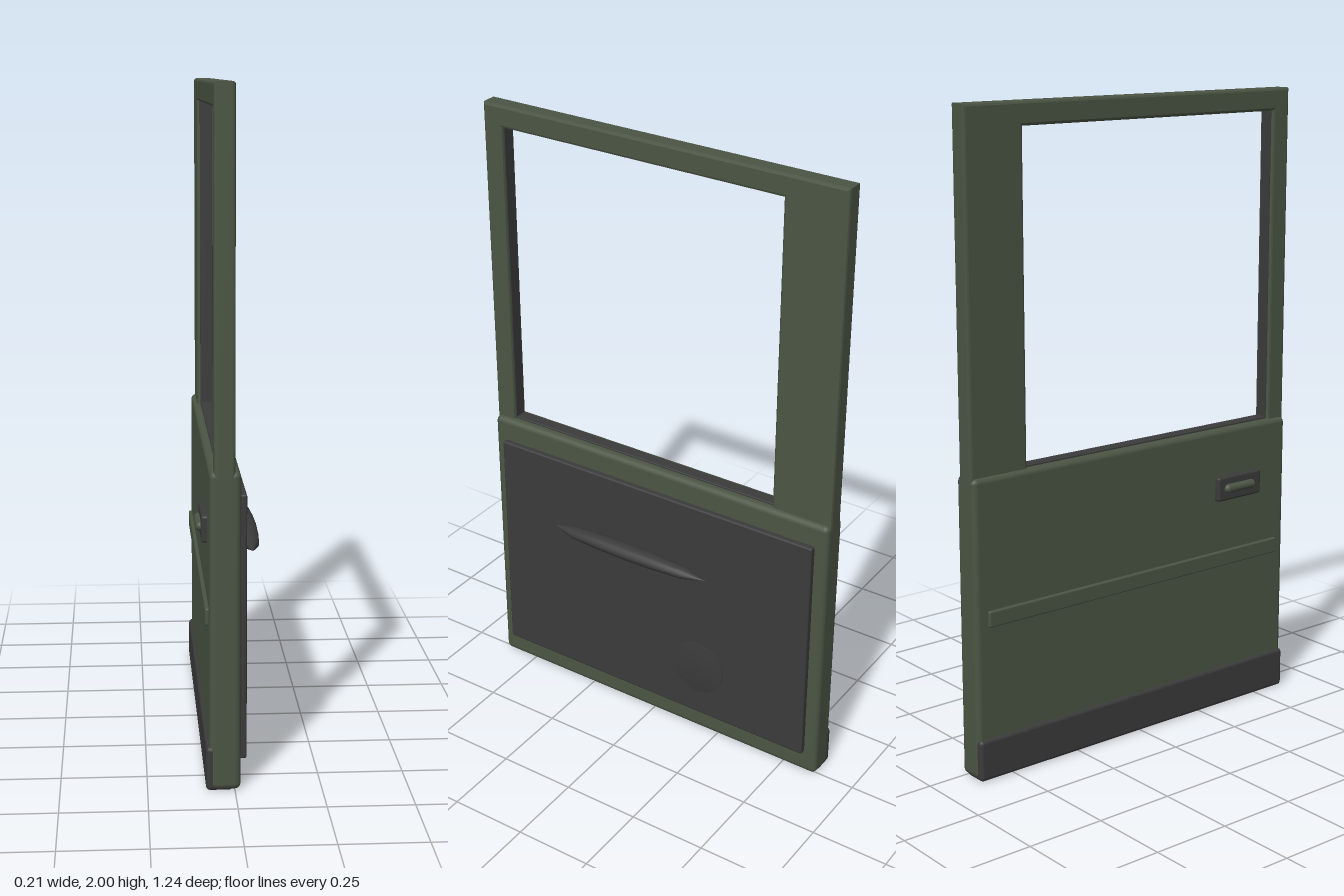
import * as THREE from 'three';
import { RoundedBoxGeometry } from 'three/addons/geometries/RoundedBoxGeometry.js';

export function createModel() {
  const door = new THREE.Group();
  door.name = 'door';

  const paint = new THREE.MeshStandardMaterial({ color: 0x4b5544 });
  paint.name = 'olive paint';
  const trim = new THREE.MeshStandardMaterial({ color: 0x3b3b3b });
  trim.name = 'dark trim';

  const add = (name, geometry, material) => {
    const mesh = new THREE.Mesh(geometry, material);
    mesh.name = name;
    door.add(mesh);
    return mesh;
  };
  // Rounded box given by its limits on each axis
  const box = (name, [x0, x1], [y0, y1], [z0, z1], radius, material) => {
    const geometry = new RoundedBoxGeometry(x1 - x0, y1 - y0, z1 - z0, 2, radius);
    return add(name, geometry.translate((x0 + x1) / 2, (y0 + y1) / 2, (z0 + z1) / 2), material);
  };

  // Lower door shell
  box('doorShell', [-0.073, 0.017], [0.002, 0.935], [-0.622, 0.622], 0.018, paint);

  // Window frame: an arch with a wide rear pillar, outlined in (z, y)
  const outline = [
    [-0.622, 0.915], [-0.42, 0.915], [-0.42, 1.93], [0.555, 1.93],
    [0.555, 0.915], [0.622, 0.915], [0.622, 2], [-0.622, 2],
  ].map(([z, y]) => new THREE.Vector2(z, y));
  const bevel = 0.008;
  const frame = new THREE.ExtrudeGeometry(new THREE.Shape(outline), {
    depth: 0.06 - 2 * bevel, bevelThickness: bevel, bevelSize: bevel,
    bevelOffset: -bevel, bevelSegments: 2,
  });
  add('windowFrame', frame.rotateY(-Math.PI / 2).translate(-bevel, 0, 0), paint);

  // Rubber seals lining the sides and bottom of the window
  const sealX = [-0.05, -0.01];
  box('rearWindowSeal', sealX, [0.93, 1.93], [-0.422, -0.417], 0.001, trim);
  box('frontWindowSeal', sealX, [0.93, 1.93], [0.552, 0.557], 0.001, trim);
  box('lowerWindowSeal', sealX, [0.925, 0.941], [-0.42, 0.555], 0.003, trim);

  // Protective sill along the outer bottom edge
  box('sillGuard', [-0.083, -0.005], [0, 0.13], [-0.62, 0.62], 0.012, trim);

  // Outer side moulding
  box('sideMoulding', [-0.084, -0.06], [0.48, 0.53], [-0.58, 0.58], 0.005, paint);

  // Inner trim panel
  box('innerPanel', [0.005, 0.036], [0.08, 0.86], [-0.58, 0.58], 0.006, trim);

  // Outer handle: recessed plate with a raised oval pull
  box('handlePlate', [-0.09, -0.06], [0.7, 0.78], [0.315, 0.5], 0.008, trim);
  const pull = add('handlePull', new THREE.CapsuleGeometry(0.015, 0.1, 6, 16), paint);
  pull.rotation.x = Math.PI / 2;
  pull.position.set(-0.09, 0.74, 0.405);

  // Tapered inner grab handle, running along z
  const profile = [[0, -0.293], [0.024, -0.21], [0.03, -0.1], [0.032, 0], [0.03, 0.1], [0.024, 0.21], [0, 0.293]]
    .map(([r, h]) => new THREE.Vector2(r, h));
  const grab = add('grabHandle', new THREE.LatheGeometry(profile, 16), trim);
  grab.rotation.x = Math.PI / 2;
  grab.scale.z = 0.76;
  grab.position.set(0.07, 0.635, 0.06);

  // Round speaker cover on the inner panel
  const disc = [[0.092, 0], [0.092, 0.011], [0, 0.012]].map(([r, h]) => new THREE.Vector2(r, h));
  const speaker = add('speakerCover', new THREE.LatheGeometry(disc, 32), trim);
  speaker.rotation.z = -Math.PI / 2;
  speaker.position.set(0.033, 0.265, -0.19);

  return door;
}
